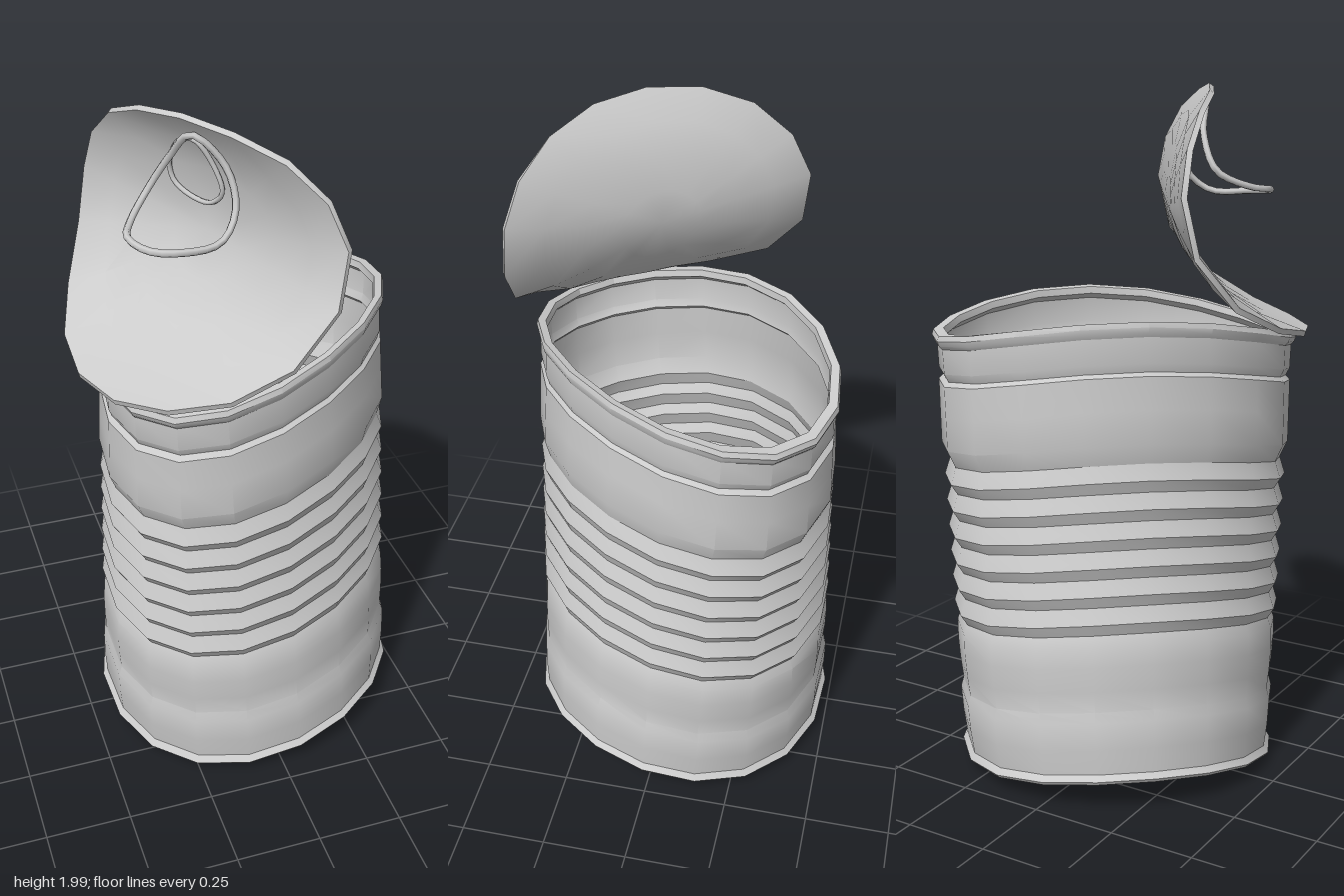
import * as THREE from 'three';
import { toCreasedNormals } from 'three/addons/utils/BufferGeometryUtils.js';

const SIDES = 18;
const material = new THREE.MeshStandardMaterial({ color: 0xcccccc, side: THREE.DoubleSide });
const S = Math.SQRT1_2;

// Spin a profile, then move each vertex by a rule.
function bentLathe(name, profile, rule, crease = 0.5) {
  const points = profile.map(([r, y]) => new THREE.Vector2(r, y));
  const geometry = new THREE.LatheGeometry(points, SIDES);
  const pos = geometry.attributes.position;
  const v = new THREE.Vector3();
  for (let i = 0; i < pos.count; i++) {
    v.fromBufferAttribute(pos, i);
    rule(v);
    pos.setXYZ(i, v.x, v.y, v.z);
  }
  geometry.deleteAttribute('normal');
  const mesh = new THREE.Mesh(toCreasedNormals(geometry, crease), material);
  mesh.name = name;
  return mesh;
}

// Squash towards a diagonal oval at the top and warp every ring into a tilted saddle.
function crush(v) {
  const k = Math.hypot(v.x, v.z);
  const t = v.y / 1.345;
  const angle = Math.atan2(v.z, v.x);
  const a = v.x * (0.47 + 0.06 * t) + 0.012;
  const b = v.z * (0.462 - 0.097 * t);
  v.y += k * k * (0.015 * Math.cos(angle) - 0.043 * Math.cos(2 * angle));
  v.x = S * (a + b) + 0.014;
  v.z = S * (b - a) - 0.014;
}

// Lid frame: n points away from the can, h runs along the hinge.
const lidPoint = (n, h, y) => new THREE.Vector3(-0.83 * n + 0.555 * h, y, 0.555 * n + 0.83 * h);
const lidCurve = new THREE.CatmullRomCurve3(
  [[0.525, 1.305], [0.405, 1.345], [0.285, 1.41], [0.187, 1.51], [0.126, 1.66], [0.135, 1.8], [0.165, 1.9], [0.235, 1.995]]
    .map(([n, y]) => new THREE.Vector3(n, y, 0)));

// Bend a flat disc along the lid curve.
function bendLid(v) {
  const u = THREE.MathUtils.clamp(0.6 + v.z * (v.z < 0 ? 0.6 : 0.4), 0, 1);
  const p = lidCurve.getPointAt(u);
  const d = lidCurve.getTangentAt(u);
  v.copy(lidPoint(p.x - d.y * v.y, v.x * 0.452, p.y + d.x * v.y));
}

// Distance of the lid face from the hinge frame at a given height.
function lidFace(y) {
  let best = lidCurve.getPoint(0);
  for (let i = 0; i <= 60; i++) {
    const p = lidCurve.getPoint(i / 60);
    if (Math.abs(p.y - y) < Math.abs(best.y - y)) best = p;
  }
  return best.x;
}

function wire(name, points, radius) {
  const path = new THREE.CatmullRomCurve3(points, true);
  const mesh = new THREE.Mesh(new THREE.TubeGeometry(path, 36, radius, 6, true), material);
  mesh.name = name;
  return mesh;
}

export function createModel() {
  const group = new THREE.Group();

  // Side wall: lower bands, ribs, upper band and neck
  const wall = [[0.975, 0.085], [0.99, 0.16], [0.995, 0.24], [0.975, 0.27], [0.985, 0.33], [0.99, 0.4], [0.985, 0.46], [0.96, 0.49]];
  const ribs = 6, pitch = 0.079;
  for (let i = 0; i < ribs; i++) {
    const y = 0.49 + i * pitch;
    wall.push([0.995, y + pitch * 0.4], [0.96, y + pitch]);
  }
  wall.push([1, 1.015], [0.995, 1.11], [0.99, 1.2], [0.965, 1.212], [0.985, 1.235], [0.985, 1.31]);
  group.add(bentLathe('canWall', wall, crush));

  // Rolled rims and base plate
  group.add(bentLathe('topRim',
    [[0.985, 1.305], [1, 1.315], [1.01, 1.33], [1, 1.345], [0.945, 1.345], [0.935, 1.325], [0.985, 1.305]], crush));
  group.add(bentLathe('bottomRim',
    [[0.94, 0.075], [0.945, 0.06], [0.99, 0.06], [1.005, 0.07], [0.975, 0.088]], crush));
  group.add(bentLathe('basePlate', [[0, 0.075], [0.45, 0.075], [0.945, 0.075]], crush));

  // Opened lid
  const t = 0.008;
  group.add(bentLathe('lid',
    [[0, -t], [0.25, -t], [0.5, -t], [0.75, -t], [1, -t], [1, t], [0.75, t], [0.5, t], [0.25, t], [0, t]], bendLid));

  // Pull ring standing out from the lid
  group.add(wire('pullRing',
    [[-0.355, 1.71, 0.18], [-0.32, 1.7, 0.25], [-0.25, 1.695, 0.275], [-0.13, 1.695, 0.25], [-0.075, 1.76, 0.2],
      [-0.09, 1.86, 0.165], [-0.17, 1.945, 0.14], [-0.21, 1.86, 0.06], [-0.265, 1.765, 0.035], [-0.33, 1.72, 0.11]]
      .map((p) => new THREE.Vector3(...p)), 0.01));

  // Small inner loop of the tab, lying on the lid face
  group.add(wire('tabLoop',
    [[-0.19, 1.82], [-0.18, 1.9], [-0.155, 1.92], [-0.115, 1.86], [-0.09, 1.78], [-0.11, 1.735], [-0.15, 1.74], [-0.18, 1.77]]
      .map(([x, y]) => {
        const n = lidFace(y) + 0.018;
        return lidPoint(n, (x + 0.83 * n) / 0.555, y);
      }), 0.007));

  return group;
}
